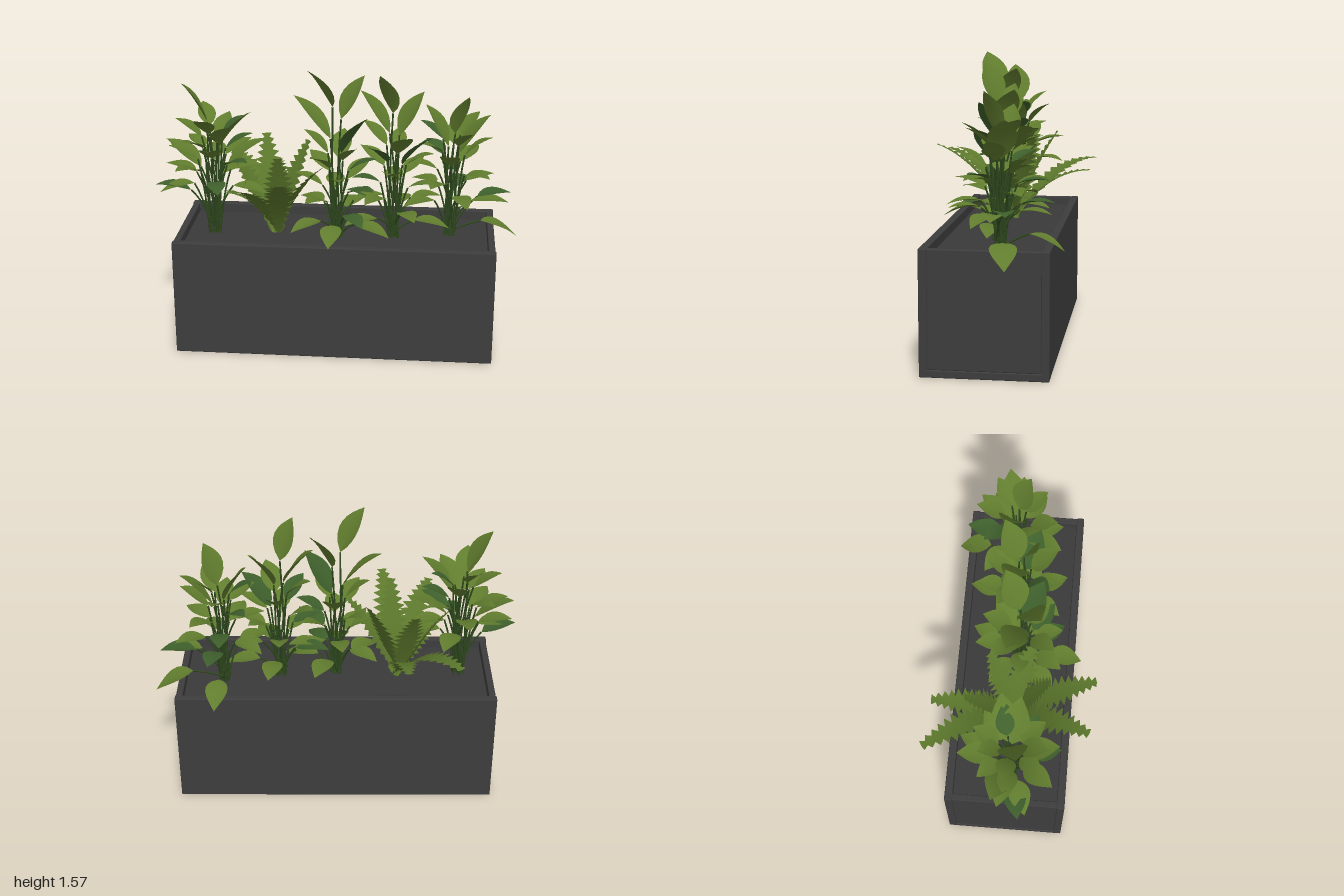
import * as THREE from 'three';
import { mergeGeometries } from 'three/addons/utils/BufferGeometryUtils.js';
import { RoundedBoxGeometry } from 'three/addons/geometries/RoundedBoxGeometry.js';

const V = (x, y, z) => new THREE.Vector3(x, y, z);
const paint = (name, color, side = THREE.FrontSide) => {
  const m = new THREE.MeshStandardMaterial({ color, side });
  m.name = name;
  return m;
};
const SOIL_Y = 0.6;

function seeded(seed) {
  let s = seed;
  return () => (s = (s * 16807) % 2147483647) / 2147483647;
}

// Outlines: rows of position along the blade and share of the half width
const leafOutline = [];
for (let i = 0; i <= 8; i++) {
  const t = i / 8;
  leafOutline.push([t, Math.max(0.01, Math.sin(Math.PI * t ** 0.8))]);
}
const frondOutline = [[0, 0.05]];
for (let i = 0; i < 13; i++) {
  const t = i / 13, w = Math.min(1, 0.35 + t * 2.2) * Math.min(1, 0.2 + (1 - t) * 1.7);
  frondOutline.push([t + 0.02, w * 0.5], [t + 0.07, w]);
}
frondOutline.push([1, 0.01]);

// Curved blade from a to b, folded along its midrib
function blade(a, b, lift, halfWidth, outline, fold) {
  const mid = a.clone().add(b).multiplyScalar(0.5);
  mid.y += lift;
  const curve = new THREE.QuadraticBezierCurve3(a, mid, b);
  const flat = V(b.x - a.x, 0, b.z - a.z).normalize();
  const side = V(-flat.z, 0, flat.x);
  const pos = [], idx = [];
  outline.forEach(([t, w], i) => {
    const p = curve.getPoint(t);
    const up = V(0, 0, 0).crossVectors(side, curve.getTangent(t));
    for (const k of [-1, 0, 1]) {
      const q = p.clone().addScaledVector(side, k * w * halfWidth);
      if (k) q.addScaledVector(up, w * halfWidth * fold);
      pos.push(q.x, q.y, q.z);
    }
    if (i) {
      const n = i * 3, o = n - 3;
      for (const c of [0, 1]) idx.push(o + c, o + c + 1, n + c, o + c + 1, n + c + 1, n + c);
    }
  });
  const g = new THREE.BufferGeometry();
  g.setAttribute('position', new THREE.Float32BufferAttribute(pos, 3));
  g.setIndex(idx);
  g.computeVertexNormals();
  return g;
}

// Thin stalk that rises steeply, then leans out to the leaf
function stalk(root, end) {
  const mid = root.clone().lerp(end, 0.35);
  mid.y = THREE.MathUtils.lerp(root.y, end.y, 0.65);
  return new THREE.TubeGeometry(new THREE.QuadraticBezierCurve3(root, mid, end), 6, 0.005, 5);
}

// Outermost leaf tips of each plant; the rest follow a spiral
const plants = [
  { name: 'rightEndPlant', x: -0.68, z: 0.02, low: 0.88, high: 1.2, count: 21, seed: 11,
    tips: [V(-0.83, 1.46, 0.06), V(-0.46, 1.31, 0.06), V(-0.95, 1.11, -0.06), V(-0.99, 0.89, 0.08), V(-0.39, 1.13, -0.05)] },
  { name: 'rightMiddlePlant', x: 0, z: 0.03, low: 0.69, high: 1.08, count: 18, seed: 23,
    tips: [V(-0.15, 1.565, 0.13), V(0.14, 1.49, -0.07), V(-0.24, 1.38, -0.04), V(0.17, 1.31, 0.13), V(-0.02, 0.66, 0.36)] },
  { name: 'leftMiddlePlant', x: 0.31, z: 0, low: 0.7, high: 1.12, count: 18, seed: 37,
    tips: [V(0.23, 1.53, 0.08), V(0.12, 1.41, -0.06), V(0.46, 1.4, -0.1), V(0.51, 1.2, 0.09)] },
  { name: 'leftEndPlant', x: 0.62, z: -0.05, low: 0.8, high: 1.17, count: 19, seed: 53,
    tips: [V(0.7, 1.41, 0.02), V(0.47, 1.33, -0.1), V(0.82, 1.28, -0.1), V(0.95, 0.83, -0.12), V(0.99, 0.575, -0.12), V(0.65, 0.61, -0.38)] },
];

function buildPlant(spec, mats) {
  const rnd = seeded(spec.seed);
  const root = V(spec.x, SOIL_Y, spec.z);
  const light = [], dark = [], stems = [];
  const add = (a, b) => {
    const len = a.distanceTo(b);
    const list = (light.length + dark.length) % 5 === 3 ? dark : light;
    list.push(blade(a, b, len * 0.14, Math.min(0.075, len * 0.3), leafOutline, 0.22));
    const foot = root.clone().add(V((rnd() - 0.5) * 0.06, 0, (rnd() - 0.5) * 0.06));
    stems.push(stalk(foot, a));
  };
  // Outer leaves: high ones start near the axis, well below their tip
  for (const tip of spec.tips) {
    const u = THREE.MathUtils.clamp((tip.y - 0.8) / 0.5, 0, 1);
    const start = root.clone().lerp(tip, 0.45 - 0.3 * u);
    start.y = tip.y - Math.min(0.22, (tip.y - 0.8) * 0.44);
    add(start, tip);
  }
  // Spiral of leaves: low ones spread and droop, high ones stand up
  for (let i = 0; i < spec.count; i++) {
    const u = i / (spec.count - 1);
    const az = i * 2.4 + rnd() * 0.5;
    const r0 = 0.11 - 0.06 * u, r1 = r0 + 0.18 - 0.06 * u + rnd() * 0.03;
    const y0 = spec.low + (spec.high - spec.low) * u;
    const y1 = y0 - 0.02 + 0.15 * u + (rnd() - 0.5) * 0.06;
    const at = (r, y) => V(spec.x + r * Math.cos(az), y, spec.z + r * Math.sin(az));
    add(at(r0, y0), at(r1, y1));
  }
  const group = new THREE.Group();
  group.name = spec.name;
  const addMesh = (name, geos, mat) => {
    const mesh = new THREE.Mesh(mergeGeometries(geos), mat);
    mesh.name = name;
    group.add(mesh);
  };
  addMesh('leaves', light, mats.leaf);
  addMesh('darkLeaves', dark, mats.darkLeaf);
  addMesh('stems', stems, mats.stem);
  return group;
}

// Fern frond tips: long arching outer ones, then steeper inner ones
const frondTips = [
  V(-0.65, 0.92, -0.45), V(-0.38, 0.88, -0.43), V(-0.53, 0.98, 0.42), V(-0.26, 1.03, 0.44),
  V(-0.6, 1.06, -0.1), V(-0.57, 0.88, 0.15), V(-0.17, 1.1, -0.13), V(-0.07, 1.02, 0.1),
  V(-0.3, 1.1, 0.2), V(-0.42, 1.1, -0.24),
];

function buildFern(mat) {
  const fronds = frondTips.map((tip, i) => {
    const root = V(-0.34 + 0.02 * Math.cos(i * 2.4), SOIL_Y, 0.02 * Math.sin(i * 2.4));
    const reach = Math.hypot(tip.x - root.x, tip.z - root.z);
    return blade(root, tip, 0.36 * reach - 0.02, 0.085, frondOutline, 0.12);
  });
  const fern = new THREE.Mesh(mergeGeometries(fronds), mat);
  fern.name = 'fern';
  return fern;
}

export function createModel() {
  const model = new THREE.Group();
  model.name = 'planterWithPlants';
  const mats = {
    planter: paint('planterCharcoal', 0x3d3d3e),
    soil: paint('soil', 0x3b393a),
    leaf: paint('leafGreen', 0x617d2e, THREE.DoubleSide),
    darkLeaf: paint('deepLeafGreen', 0x3f602c, THREE.DoubleSide),
    fern: paint('fernGreen', 0x5c782c, THREE.DoubleSide),
    stem: paint('stemGreen', 0x2f4a1e),
  };
  const box = (name, w, h, d, x, y, z, mat) => {
    const m = new THREE.Mesh(new RoundedBoxGeometry(w, h, d, 2, 0.006), mat);
    m.name = name;
    m.position.set(x, y, z);
    model.add(m);
  };

  // Planter box: long panels, recessed end panels, base and soil
  for (const s of [-1, 1]) {
    box(s > 0 ? 'frontPanel' : 'backPanel', 1.73, 0.65, 0.042, 0, 0.325, s * 0.304, mats.planter);
    box(s > 0 ? 'leftPanel' : 'rightPanel', 0.036, 0.61, 0.57, s * 0.843, 0.344, 0, mats.planter);
  }
  box('basePanel', 1.73, 0.04, 0.6, 0, 0.02, 0, mats.planter);
  box('soil', 1.66, 0.1, 0.57, 0, SOIL_Y - 0.05, 0, mats.soil);

  // Leafy plants and the fern between them
  plants.forEach((p) => model.add(buildPlant(p, mats)));
  model.add(buildFern(mats.fern));
  return model;
}
